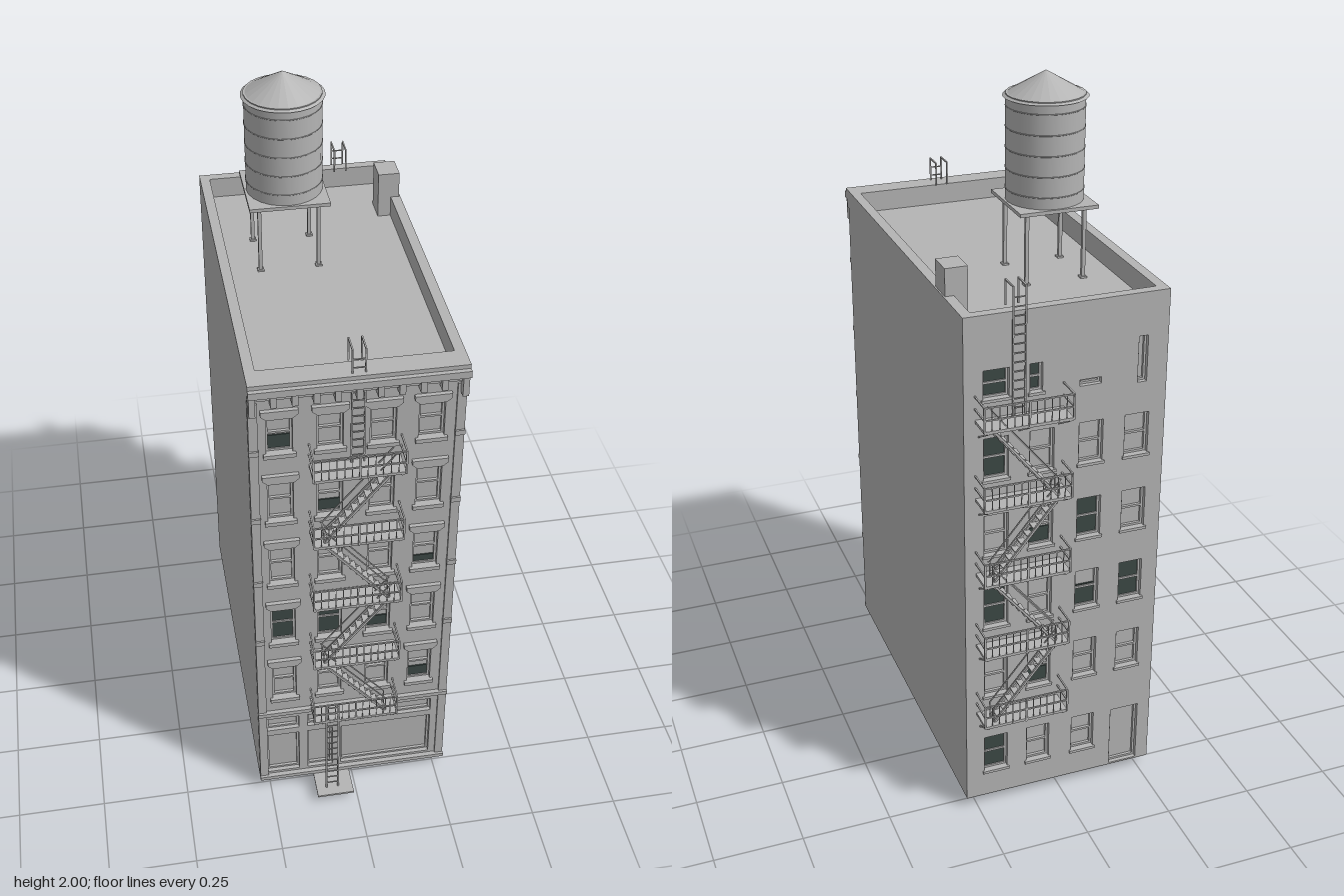
import * as THREE from 'three';

const grey = new THREE.MeshStandardMaterial({ color: 0xb4b4b4 });
grey.name = 'grey masonry and metal';
const glass = new THREE.MeshStandardMaterial({ color: 0x3c4845 });
glass.name = 'dark glass';

const FLOOR = 0.226;                 // storey height
const FRONT = 0.505, BACK = -0.535;  // wall faces
const SKIN = 0.02;                   // depth of window reveals

function add(parent, name, geometry, material = grey) {
  const mesh = new THREE.Mesh(geometry, material);
  mesh.name = name;
  parent.add(mesh);
  return mesh;
}

// Box given by its limits on each axis
function box(parent, name, x0, x1, y0, y1, z0, z1, material) {
  const g = new THREE.BoxGeometry(x1 - x0, y1 - y0, Math.abs(z1 - z0));
  g.translate((x0 + x1) / 2, (y0 + y1) / 2, (z0 + z1) / 2);
  return add(parent, name, g, material);
}

// Square bar between two points
function bar(parent, name, a, b, t = 0.004) {
  const p = new THREE.Vector3(...a), q = new THREE.Vector3(...b);
  const mesh = add(parent, name, new THREE.BoxGeometry(t, t, p.distanceTo(q)));
  mesh.position.copy(p).add(q).multiplyScalar(0.5);
  mesh.lookAt(q);
  return mesh;
}

function rectPath(Type, x0, x1, y0, y1) {
  return new Type([[x0, y0], [x1, y0], [x1, y1], [x0, y1]].map(p => new THREE.Vector2(...p)));
}

// Wall skin with rectangular openings {x0,x1,y0,y1}
function wallSkin(parent, name, openings, z) {
  const shape = rectPath(THREE.Shape, -0.28, 0.28, 0.03, 1.51);
  openings.forEach(o => shape.holes.push(rectPath(THREE.Path, o.x0, o.x1, o.y0, o.y1)));
  const g = new THREE.ExtrudeGeometry(shape, { depth: SKIN, bevelEnabled: false });
  add(parent, name, g.translate(0, 0, z));
}

// Sash, meeting rail and optional dark glazing inside an opening
function sash(parent, o, face, dir) {
  const z0 = face - dir * SKIN, z1 = z0 + dir * 0.008, t = 0.006;
  box(parent, 'sashLeft', o.x0, o.x0 + t, o.y0, o.y1, z0, z1);
  box(parent, 'sashRight', o.x1 - t, o.x1, o.y0, o.y1, z0, z1);
  box(parent, 'sashTop', o.x0 + t, o.x1 - t, o.y1 - t, o.y1, z0, z1);
  box(parent, 'sashBottom', o.x0 + t, o.x1 - t, o.y0, o.y0 + t, z0, z1);
  if (o.rail) {
    const m = (o.y0 + o.y1) / 2;
    box(parent, 'meetingRail', o.x0 + t, o.x1 - t, m - 0.003, m + 0.003, z0, z1);
  }
  if (o.dark) {
    const top = o.y0 + (o.y1 - o.y0) * o.dark;
    box(parent, 'windowGlass', o.x0, o.x1, o.y0, top, z0, z0 + dir * 0.004, glass);
  }
}

function opening(x, w, y0, h, extra = {}) {
  return { x0: x - w / 2, x1: x + w / 2, y0, y1: y0 + h, rail: true, ...extra };
}

// Platforms, railings, stairs and roof ladder; dir is the outward z sign
function fireEscape(cx, wall, dir, name) {
  const g = new THREE.Group();
  g.name = name;
  const x0 = cx - 0.12, x1 = cx + 0.12, out = wall + dir * 0.072;
  for (let i = 0; i < 5; i++) {
    const y = 0.32 + i * FLOOR;
    box(g, 'platform', x0, x1, y - 0.004, y + 0.004, wall, out);
    for (const h of [0.035, 0.07]) {
      bar(g, 'rail', [x0, y + h, out], [x1, y + h, out]);
      for (const x of [x0, x1]) bar(g, 'sideRail', [x, y + h, wall], [x, y + h, out]);
    }
    for (let k = 0; k <= 12; k++) {
      const x = x0 + (x1 - x0) * k / 12;
      bar(g, 'baluster', [x, y, out], [x, y + 0.07, out], k % 6 ? 0.002 : 0.005);
    }
    for (const x of [x0 + 0.01, cx, x1 - 0.01]) {
      bar(g, 'bracket', [x, y - 0.045, wall], [x, y - 0.004, out]);
    }
    if (i === 4) continue;
    // Flights alternate from side to side
    const s = i % 2 ? 1 : -1;
    const a = cx - s * 0.09, b = cx + s * 0.095;
    const zs = [wall + dir * 0.025, wall + dir * 0.055];
    for (const z of zs) {
      bar(g, 'stringer', [a, y, z], [b, y + FLOOR, z], 0.006);
      bar(g, 'handrail', [a, y + 0.05, z], [b, y + FLOOR + 0.05, z], 0.003);
      bar(g, 'handrailPost', [a, y, z], [a, y + 0.05, z], 0.003);
    }
    for (let k = 1; k < 11; k++) {
      const x = a + (b - a) * k / 11, ty = y + FLOOR * k / 11;
      box(g, 'tread', x - 0.009, x + 0.009, ty - 0.0015, ty + 0.0015, zs[0], zs[1]);
    }
  }
  // Ladder from the top platform, hooked over the parapet
  const lz = wall + dir * 0.01, inner = wall - dir * 0.045;
  for (const x of [cx - 0.012, cx + 0.022]) {
    bar(g, 'ladderSide', [x, 1.225, lz], [x, 1.58, lz]);
    bar(g, 'ladderHook', [x, 1.578, lz], [x, 1.578, inner]);
    bar(g, 'ladderEnd', [x, 1.51, inner], [x, 1.578, inner]);
  }
  for (let y = 1.25; y < 1.57; y += 0.025) {
    bar(g, 'rung', [cx - 0.012, y, lz], [cx + 0.022, y, lz], 0.003);
  }
  return g;
}

function waterTank() {
  const g = new THREE.Group();
  g.name = 'waterTank';
  g.position.set(-0.08, 0, -0.165);
  add(g, 'tankBarrel', new THREE.CylinderGeometry(0.105, 0.105, 0.285, 24)).position.y = 1.8;
  const cone = new THREE.ConeGeometry(0.113, 0.065, 24).toNonIndexed();
  cone.computeVertexNormals();
  add(g, 'tankRoof', cone).position.y = 1.9675;
  for (let i = 0; i < 5; i++) {
    const hoop = add(g, 'tankHoop', new THREE.TorusGeometry(0.105, 0.0015, 4, 24));
    hoop.rotation.x = Math.PI / 2;
    hoop.position.y = 1.69 + i * 0.055;
  }
  box(g, 'tankPlatform', -0.11, 0.11, 1.649, 1.659, -0.11, 0.11);
  for (const x of [-0.081, 0.081]) for (const z of [-0.081, 0.081]) {
    box(g, 'tankLeg', x - 0.005, x + 0.005, 1.45, 1.65, z - 0.005, z + 0.005);
    box(g, 'legFoot', x - 0.009, x + 0.009, 1.45, 1.455, z - 0.009, z + 0.009);
  }
  return g;
}

export function createModel() {
  const model = new THREE.Group();
  model.name = 'tenementBuilding';

  // Core, foundation and roof parapet
  box(model, 'foundation', -0.25, 0.25, 0, 0.03, -0.5, 0.475);
  box(model, 'core', -0.28, 0.28, 0.03, 1.45, BACK + SKIN, FRONT - SKIN);
  box(model, 'parapetRight', -0.28, -0.252, 1.45, 1.51, BACK + SKIN, FRONT - SKIN);
  box(model, 'parapetLeft', 0.252, 0.28, 1.45, 1.51, BACK + SKIN, FRONT - SKIN);
  box(model, 'parapetFront', -0.252, 0.252, 1.45, 1.51, 0.465, FRONT - SKIN);
  box(model, 'parapetBack', -0.252, 0.252, 1.45, 1.51, BACK + SKIN, -0.507);
  box(model, 'chimney', 0.215, 0.276, 1.45, 1.585, -0.39, -0.315);
  model.add(waterTank());

  // Front windows; the key is column and storey, the value the glazed share
  const columns = [-0.2, -0.07, 0.067, 0.193];
  const frontDark = { '0,1': 1, '1,1': 1, '3,2': 0.2, '2,1': 0.3, '1,3': 0.3, '0,4': 0.4, '3,0': 0.3 };
  const front = [];
  columns.forEach((x, c) => {
    for (let f = 0; f < 5; f++) {
      const y = 0.372 + f * FLOOR, h = f === 4 ? 0.115 : 0.132;
      front.push(opening(x, 0.068, y, h, { dark: frontDark[c + ',' + f] }));
      // Flared lintel and sill
      const hood = new THREE.Shape([[-0.034, 0], [0.034, 0], [0.048, 0.012], [0.048, 0.025],
        [-0.048, 0.025], [-0.048, 0.012]].map(p => new THREE.Vector2(...p)));
      add(model, 'lintel', new THREE.ExtrudeGeometry(hood, { depth: 0.012, bevelEnabled: false }))
        .position.set(x, y + h, FRONT);
      box(model, 'sill', x - 0.042, x + 0.042, y - 0.012, y, FRONT, FRONT + 0.01);
    }
  });

  // Shop front openings: doors, display window and transoms
  for (const [x0, x1] of [[-0.255, -0.16], [-0.135, -0.06], [-0.035, 0.235]]) {
    front.push({ x0, x1, y0: 0.05, y1: 0.21 }, { x0, x1, y0: 0.232, y1: 0.28 });
  }
  wallSkin(model, 'frontWall', front, FRONT - SKIN);
  front.forEach(o => sash(model, o, FRONT, 1));
  box(model, 'shopCornice', -0.28, 0.28, 0.305, 0.318, FRONT, FRONT + 0.013);
  box(model, 'baseboard', -0.28, 0.28, 0.03, 0.042, FRONT, FRONT + 0.014);
  for (const s of [-1, 1]) {
    const x = s * 0.267;
    box(model, 'pilaster', x - 0.012, x + 0.012, 0.042, 1.44, FRONT, FRONT + 0.006);
    for (let f = 0; f < 5; f++) {
      const y = 0.6 + f * FLOOR;
      if (y < 1.44) box(model, 'pilasterBand', x - 0.013, x + 0.013, y, y + 0.015, FRONT, FRONT + 0.011);
    }
  }

  // Bracketed cornice
  box(model, 'corniceTop', -0.28, 0.28, 1.478, 1.498, FRONT, 0.543);
  box(model, 'corniceCap', -0.28, 0.28, 1.498, 1.51, FRONT, 0.53);
  box(model, 'corniceBed', -0.28, 0.28, 1.455, 1.478, FRONT, 0.52);
  for (let i = 0; i <= 10; i++) {
    const x = -0.27 + i * 0.054, low = i % 10 ? 1.44 : 1.415;
    box(model, 'corniceBracket', x - 0.008, x + 0.008, low, 1.478, FRONT, 0.533);
  }

  // Rear windows, narrow top openings and back door
  const backDark = { '0,1': 1, '1,2': 1, '1,1': 0.55, '3,3': 1, '2,2': 0.4, '3,1': 1, '2,0': 0.4 };
  const rear = [];
  columns.forEach((x, c) => {
    for (let f = 0; f < 4; f++) {
      rear.push(opening(x, 0.068, 0.372 + f * FLOOR, 0.12, { dark: backDark[c + ',' + f] }));
    }
    if (c) rear.push(opening(x, 0.068, 0.115, 0.115, { dark: c === 3 ? 1 : 0 }));
  });
  rear.push(opening(-0.2, 0.085, 0.035, 0.19, { rail: false }));
  rear.push(opening(-0.21, 0.026, 1.26, 0.13, { rail: false }));
  rear.push(opening(-0.065, 0.06, 1.275, 0.018, { rail: false }));
  rear.push(opening(0.193, 0.07, 1.28, 0.08, { dark: 1 }));
  rear.push(opening(0.085, 0.035, 1.28, 0.08, { dark: 1 }));
  wallSkin(model, 'rearWall', rear, BACK);
  rear.forEach(o => {
    sash(model, o, BACK, -1);
    if (o.rail) box(model, 'rearSill', o.x0 - 0.005, o.x1 + 0.005, o.y0 - 0.008, o.y0, BACK - 0.006, BACK);
  });

  // Fire escapes front and back
  model.add(fireEscape(-0.005, FRONT, 1, 'frontFireEscape'));
  model.add(fireEscape(0.13, BACK, -1, 'rearFireEscape'));

  // Drop ladder and doorstep at the street
  for (const x of [-0.09, -0.055]) bar(model, 'dropLadderSide', [x, 0.03, 0.575], [x, 0.38, 0.575], 0.005);
  for (let y = 0.05; y < 0.38; y += 0.025) {
    bar(model, 'dropLadderRung', [-0.09, y, 0.575], [-0.055, y, 0.575], 0.003);
  }
  box(model, 'doorstep', -0.12, -0.012, 0.024, 0.03, 0.475, 0.605);
  return model;
}
